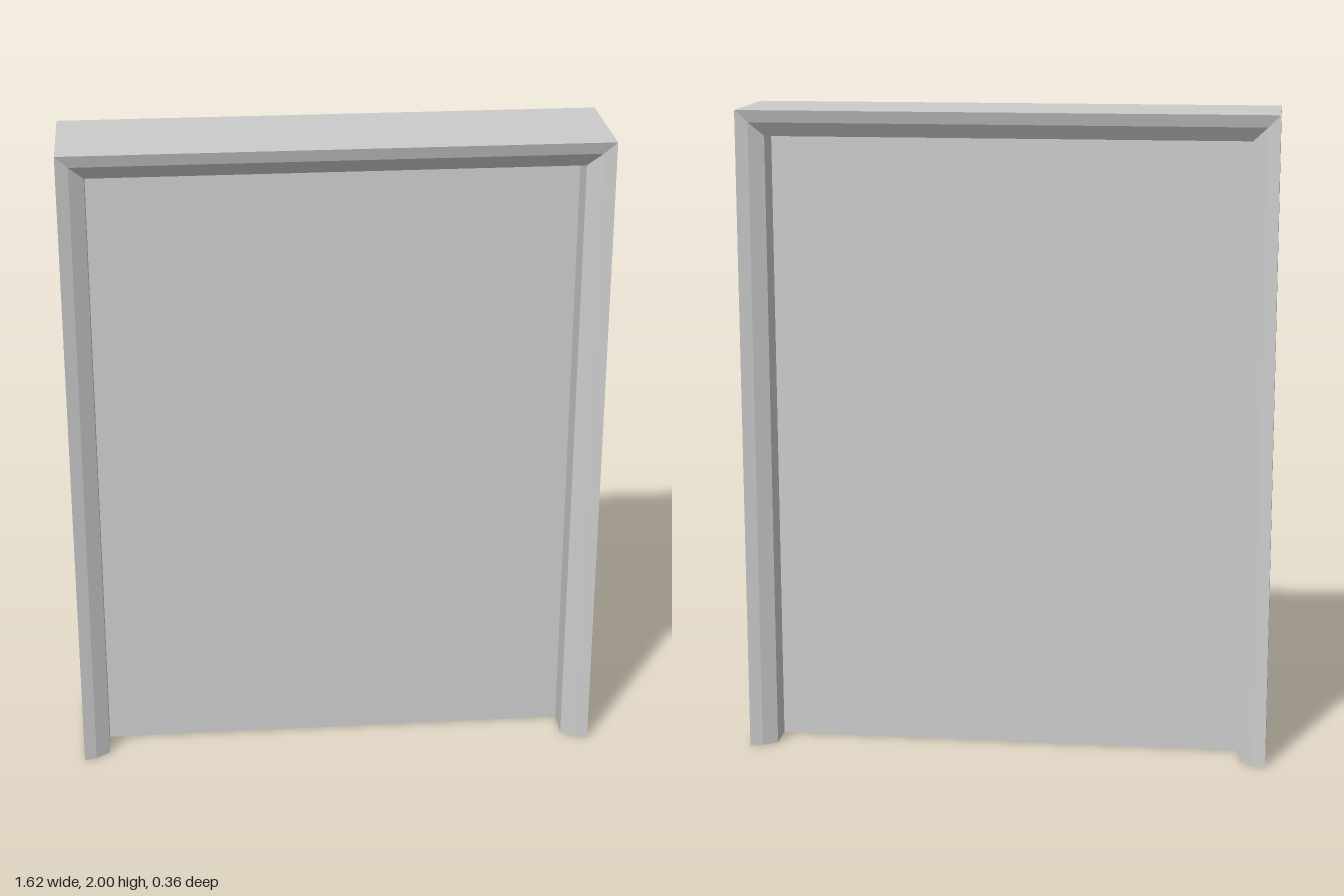
import * as THREE from 'three';

const W = 0.81, H = 2, INSET = 0.08;

// Casing profile: [inset from the outer edge, z], same moulding on both faces
const half = [[0, 0.18], [0.037, 0.168], [INSET, 0.138]];
const profile = [...half, ...half.slice().reverse().map(([i, z]) => [i, -z])];

// Sweep the profile up one jamb, across the head and down the other, with mitred corners
function frameGeometry() {
  const stations = [
    ([i, z]) => [-W + i, 0, z],
    ([i, z]) => [-W + i, H - i, z],
    ([i, z]) => [W - i, H - i, z],
    ([i, z]) => [W - i, 0, z],
  ].map((place) => profile.map(place));
  const pos = [];
  const tri = (a, b, c) => pos.push(...a, ...b, ...c);
  const n = profile.length;
  for (let s = 0; s < 3; s++) {
    for (let k = 0; k < n; k++) {
      const j = (k + 1) % n;
      const [p, q] = [stations[s], stations[s + 1]];
      tri(p[k], p[j], q[j]);
      tri(p[k], q[j], q[k]);
    }
  }
  // Feet of the two jambs
  const [first, last] = [stations[0], stations[3]];
  for (let k = 1; k < n - 1; k++) {
    tri(first[0], first[k + 1], first[k]);
    tri(last[0], last[k], last[k + 1]);
  }
  const geo = new THREE.BufferGeometry();
  geo.setAttribute('position', new THREE.Float32BufferAttribute(pos, 3));
  geo.computeVertexNormals();
  return geo;
}

export function createModel() {
  const group = new THREE.Group();
  group.name = 'framedDoor';
  const material = new THREE.MeshStandardMaterial({ color: 0xcccccc, flatShading: true });

  const frame = new THREE.Mesh(frameGeometry(), material);
  frame.name = 'doorFrame';

  // Plain slab filling the opening
  const panelHeight = H - INSET;
  const panel = new THREE.Mesh(new THREE.BoxGeometry(2 * (W - INSET), panelHeight, 0.085), material);
  panel.name = 'doorPanel';
  panel.position.y = panelHeight / 2;

  group.add(frame, panel);
  return group;
}
